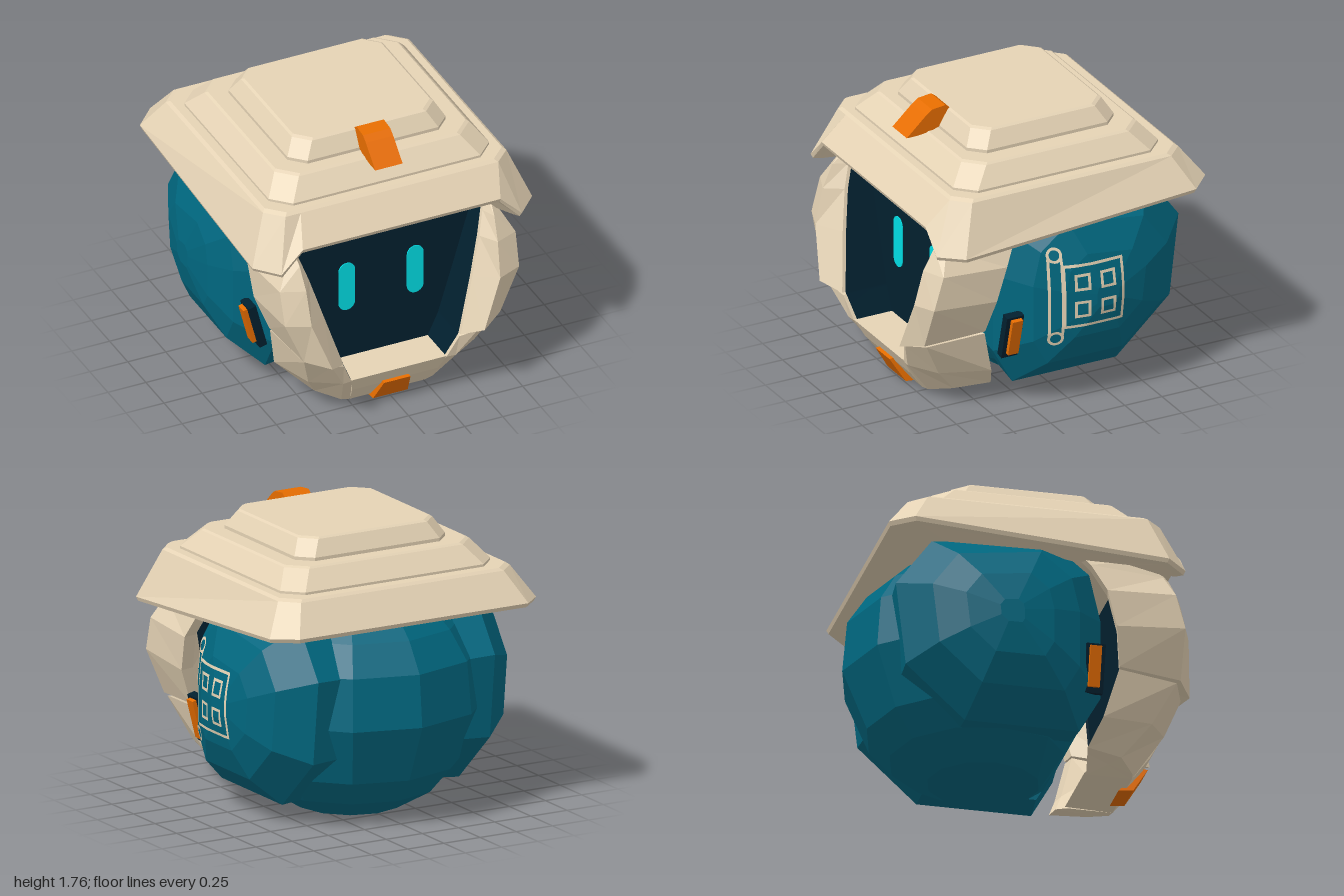
import * as THREE from 'three';
import { mergeGeometries } from 'three/addons/utils/BufferGeometryUtils.js';

const mat = (name, color, extra = {}) => Object.assign(new THREE.MeshStandardMaterial({ color, ...extra }), { name });
const V = (x, y, z) => new THREE.Vector3(x, y, z);

// Flat-faced solid through loops of equal length, capped at both ends and wound outwards.
function loft(loops) {
  const n = loops[0].length, tris = [];
  for (let i = 0; i + 1 < loops.length; i++) {
    for (let j = 0; j < n; j++) {
      const k = (j + 1) % n, a = loops[i][j], b = loops[i][k], c = loops[i + 1][k], d = loops[i + 1][j];
      tris.push([a, b, c], [a, c, d]);
    }
  }
  const cap = (loop, flip) => {
    const mid = loop.reduce((s, p) => s.add(p), V(0, 0, 0)).divideScalar(n);
    loop.forEach((p, j) => {
      const q = loop[(j + 1) % n];
      tris.push(flip ? [mid, q, p] : [mid, p, q]);
    });
  };
  cap(loops[0], true);
  cap(loops[loops.length - 1], false);
  const volume = tris.reduce((s, [a, b, c]) => s + a.dot(b.clone().cross(c)), 0);
  const pts = tris.flatMap(t => (volume < 0 ? [t[0], t[2], t[1]] : t));
  const g = new THREE.BufferGeometry().setFromPoints(pts);
  g.computeVertexNormals();
  return g;
}

// Side pod outline as [z, y], and its rings as [x, scale]
const podMid = [-0.18, 0.72];
const podOutline = [[0.3, 0.12], [0.43, 0.35], [0.43, 0.85], [0.36, 1.15], [0.1, 1.36],
  [-0.6, 1.27], [-0.82, 0.97], [-0.76, 0.45], [-0.4, 0.12]];
const podRings = [[0.42, 0.97], [0.61, 1], [0.8, 0.72], [0.885, 0.43], [0.925, 0.12]];

// Height of the pod surface above a point of its outline plane
function podX(y, z) {
  const pz = z - podMid[0], py = y - podMid[1];
  let s = 0;
  podOutline.forEach(([z0, y0], i) => {
    const [z1, y1] = podOutline[(i + 1) % podOutline.length];
    const nz = y1 - y0, ny = z0 - z1;
    s = Math.max(s, (nz * pz + ny * py) / (nz * (z0 - podMid[0]) + ny * (y0 - podMid[1])));
  });
  for (let i = podRings.length - 1; i > 1; i--) {
    const [xa, sa] = podRings[i], [xb, sb] = podRings[i - 1];
    if (s <= sb) return s <= sa ? xa : xa + (xb - xa) * (s - sa) / (sb - sa);
  }
  return podRings[1][0];
}

export function createModel() {
  const root = new THREE.Group();
  const tan = mat('tan shell', 0xe5d3b5), teal = mat('teal shell', 0x00677f);
  const orange = mat('orange clip', 0xf27300);
  const dark = mat('dark visor', 0x02202f, { side: THREE.DoubleSide });
  const cyan = mat('cyan eye', 0x00dfe6);
  const line = mat('emblem line', 0xe5d3b5, { side: THREE.DoubleSide });
  const add = (name, geo, material, pos = [0, 0, 0]) => {
    const m = new THREE.Mesh(geo, material);
    m.name = name;
    m.position.set(...pos);
    root.add(m);
    return m;
  };

  // Faceted head ball, flattened at the front behind the visor
  const ball = [[0.34, 0], [0.57, 0.13], [0.71, 0.29], [0.86, 0.65], [0.83, 0.97], [0.71, 1.15], [0.6, 1.25], [0.3, 1.38]];
  add('headBall', loft(ball.map(([r, y]) => Array.from({ length: 12 }, (_, i) => {
    const a = i * Math.PI / 6;
    return V(0.95 * r * Math.sin(a), y, Math.min(0.38, 0.2 + 0.7 * y, -0.14 - r * Math.cos(a)));
  }))), teal);

  // Face frame levels: opening edge, front ridge, outer ridge and back edge [x, y, z]
  const cheek = [
    [[0.635, 1.25, 0.7], [0.655, 1.25, 0.73], [0.68, 1.25, 0.68], [0.69, 1.25, 0.28]],
    [[0.605, 1.14, 0.75], [0.64, 1.14, 0.84], [0.7, 1.14, 0.79], [0.735, 1.16, 0.34]],
    [[0.56, 1.0, 0.8], [0.63, 1.0, 0.91], [0.775, 1.0, 0.85], [0.79, 0.98, 0.43]],
    [[0.49, 0.76, 0.85], [0.62, 0.78, 0.965], [0.77, 0.79, 0.91], [0.775, 0.76, 0.49]],
    [[0.385, 0.415, 0.91], [0.5, 0.465, 1.0], [0.645, 0.505, 0.91], [0.69, 0.535, 0.525]],
  ];
  const jaw = [
    [[0.38, 0.4, 0.905], [0.48, 0.445, 0.95], [0.635, 0.49, 0.89], [0.685, 0.52, 0.525]],
    [[0.312, 0.255, 0.87], [0.37, 0.255, 0.875], [0.545, 0.25, 0.76], [0.62, 0.23, 0.445]],
    [[0.245, 0.02, 0.71], [0.3, 0.025, 0.7], [0.43, 0.065, 0.6], [0.49, 0.08, 0.38]],
  ];
  const frame = (levels, side, depth) => loft(levels.map(([a, b, c, d]) => [
    a, b, c, d, [d[0] - 0.09, d[1], d[2] + 0.02], [a[0], a[1], a[2] - depth],
  ].map(([x, y, z]) => V(side * x, y, z))));

  for (const [word, side] of [['left', 1], ['right', -1]]) {
    add(word + 'SidePod', loft(podRings.map(([x, s]) => podOutline.map(([z, y]) =>
      V(side * x, podMid[1] + s * (y - podMid[1]), podMid[0] + s * (z - podMid[0]))))), teal);
    add(word + 'Cheek', frame(cheek, side, 0.1), tan);
    add(word + 'Jaw', frame(jaw, side, 0.28), tan);

    // Hinge clip on its dark plate
    add(word + 'HingePlate', new THREE.BoxGeometry(0.05, 0.3, 0.115), dark, [side * 0.715, 0.49, 0.365]).rotation.z = -side * 0.25;
    add(word + 'HingeClip', new THREE.BoxGeometry(0.07, 0.25, 0.07), orange, [side * 0.733, 0.495, 0.36]).rotation.z = -side * 0.25;

    // Dark lining between the frame edge and the screen
    const edge = [...cheek, ...jaw.slice(0, 2)].map(l => l[0]);
    const wall = new THREE.PlaneGeometry(1, 1, 1, edge.length - 1);
    edge.forEach(([x, y, z], i) => {
      wall.attributes.position.setXYZ(2 * i, side * (x - 0.005), y, z - 0.02);
      wall.attributes.position.setXYZ(2 * i + 1, side * (x - 0.005), y, 0.6);
    });
    wall.computeVertexNormals();
    add(word + 'VisorWall', wall, dark);

    // Eye: thin upright pill
    const pill = new THREE.Shape();
    pill.absarc(0, 0.11, 0.054, 0, Math.PI);
    pill.absarc(0, -0.11, 0.054, Math.PI, 2 * Math.PI);
    add(word + 'Eye', new THREE.ExtrudeGeometry(pill, { depth: 0.006, bevelEnabled: false }), cyan, [side * 0.225, 0.755, 0.616]);
  }

  // Screen at the back of the visor
  const half = [[0.31, 0.2], [0.312, 0.255], [0.385, 0.41], [0.64, 1.28]];
  const outline = [...half, ...half.map(([x, y]) => [-x, y]).reverse()].map(p => new THREE.Vector2(...p));
  add('screen', new THREE.ShapeGeometry(new THREE.Shape(outline)), dark, [0, 0, 0.615]);

  // Chin, narrowing downwards
  const chin = [[0.59, 0.26], [0.87, 0.26], [0.81, 0.15], [0.71, 0.02], [0.42, 0.03], [0.5, 0.1]];
  add('chin', loft([-1, 1].map(s => chin.map(([z, y]) => V(s * (0.24 + 0.28 * y), y, z)))), tan);

  // Clips on the chin and the hat, from side profiles [z, y]
  const clip = (name, profile, width) =>
    add(name, loft([-1, 1].map(s => profile.map(([z, y]) => V(s * width(y), y, z)))), orange);
  clip('chinClip', [[0.81, 0.17], [0.845, 0.165], [0.75, 0.01], [0.66, 0], [0.7, 0.04]], y => 0.115 - 0.17 * y);
  clip('hatClip', [[0.73, 1.6], [0.6, 1.72], [0.56, 1.75], [0.47, 1.76], [0.43, 1.73], [0.48, 1.64], [0.57, 1.61], [0.66, 1.6]], () => 0.09);

  // Hat loops: chamfered rectangles with two extra points along the front for the brim notch
  const hatLoop = (hx, hz, y, c, cz = 0, notch = 0.65) => {
    const right = [[notch, hz, true], [hx - c, hz], [hx, hz - c], [hx, c - hz], [hx - c, -hz]];
    return [...right, ...right.map(([x, z, n]) => [-x, z, n]).reverse()]
      .map(([x, z, n]) => V(x, typeof y === 'function' ? y(z, n) : y, z + cz));
  };
  const rim = (z, n) => (n ? 1.27 : 1.195 - 0.07 * z);
  add('hatBrim', loft([
    hatLoop(0.45, 0.45, 1.285, 0.1, 0, 0.3),
    hatLoop(0.87, 0.86, rim, 0.12, 0, 0.63),
    hatLoop(0.91, 0.895, rim, 0.13),
    hatLoop(0.92, 0.905, (z, n) => rim(z, n) + 0.025, 0.13),
    hatLoop(0.8, 0.77, 1.465, 0.1, 0, 0.6),
    hatLoop(0.78, 0.75, 1.48, 0.1, 0, 0.6),
  ]), tan);
  add('hatMiddleTier', loft([[0.725, 0.69, 1.46], [0.725, 0.69, 1.495], [0.64, 0.59, 1.605], [0.625, 0.575, 1.615]]
    .map(([x, z, y]) => hatLoop(x, z, y, 0.11, 0.01, 0.45))), tan);
  add('hatTopTier', loft([[0.52, 0.495, 1.6], [0.52, 0.495, 1.635], [0.465, 0.44, 1.73], [0.45, 0.425, 1.74]]
    .map(([x, z, y]) => hatLoop(x, z, y, 0.09, 0.015, 0.3))), tan);

  // Scroll emblem laid onto the left pod: strips given by centre z, y and size
  const pieces = [];
  const strip = (z, y, w, h) => pieces.push(new THREE.PlaneGeometry(w, h,
    Math.ceil(w / 0.02), Math.ceil(h / 0.02)).translate(-z, y, 0));
  const box = (z, y, w, h, t) => {
    for (const s of [-1, 1]) {
      strip(z + s * (w - t) / 2, y, t, h);
      strip(z, y + s * (h - t) / 2, w - 2 * t, t);
    }
  };
  box(-0.09, 0.742, 0.39, 0.41, 0.018);
  for (const z of [-0.015, -0.177]) for (const y of [0.83, 0.655]) box(z, y, 0.1, 0.108, 0.018);
  for (const z of [0.103, 0.178]) strip(z, 0.74, 0.017, 0.5);
  for (const y of [1.01, 0.47]) pieces.push(new THREE.RingGeometry(0.031, 0.048, 24).translate(-0.14, y, 0));
  const emblem = mergeGeometries(pieces);
  const p = emblem.attributes.position;
  for (let i = 0; i < p.count; i++) {
    const y = p.getY(i), z = -p.getX(i);
    p.setXYZ(i, podX(y, z) + 0.011, y, z);
  }
  emblem.computeVertexNormals();
  add('scrollEmblem', emblem, line);

  return root;
}
